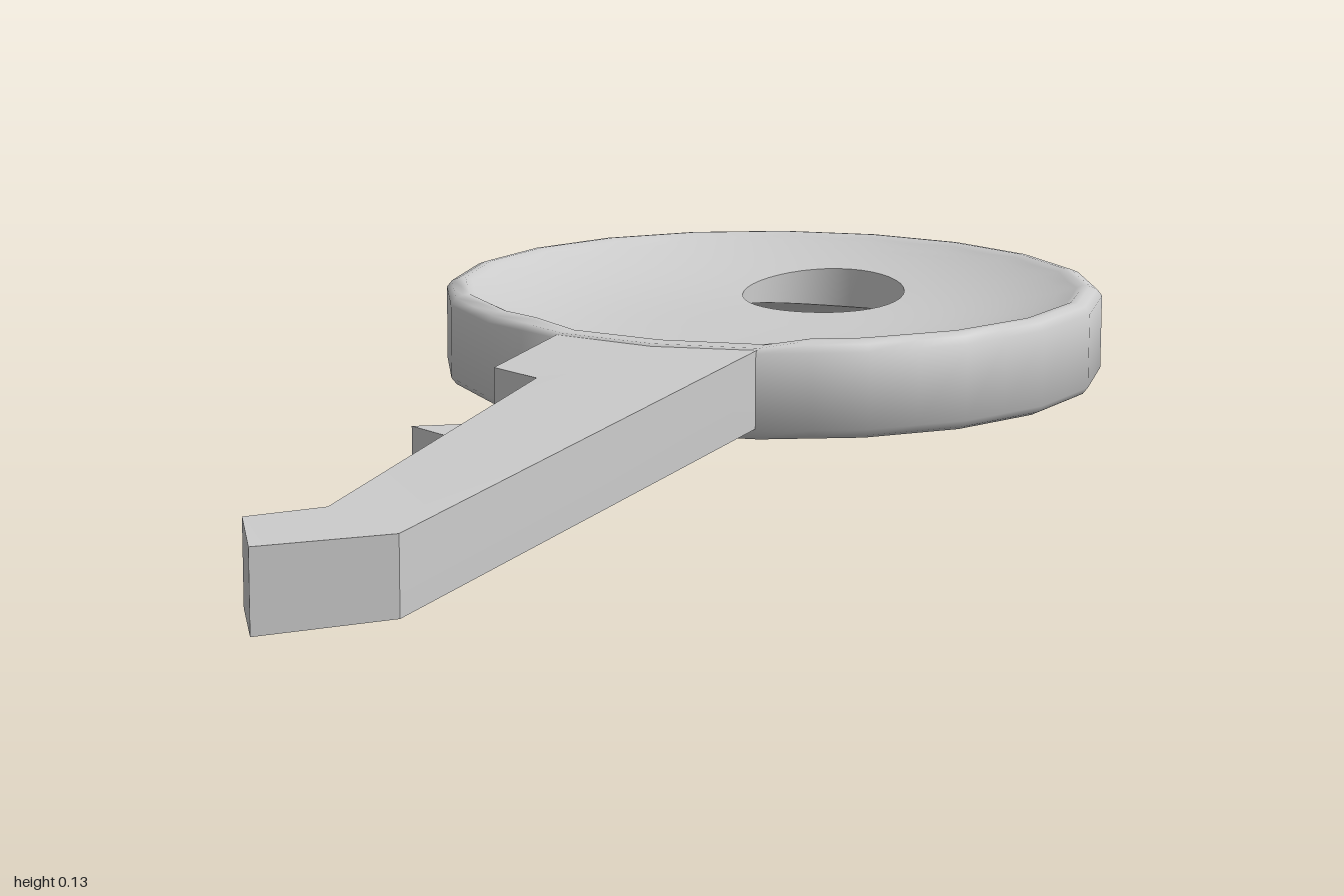
import * as THREE from 'three';
import { toCreasedNormals } from 'three/addons/utils/BufferGeometryUtils.js';

const material = new THREE.MeshStandardMaterial({ color: 0xcccccc });
const SEG = 40, BOW_Z = -0.55, HOLE_Z = -0.76, HOLE_R = 0.115, FACE_R = 0.415;

// Dished round bow: rings run from the hole across the top, around the rim and back underneath
function bowGeometry() {
  const rings = [];
  const STEPS = 10;
  const ring = (cz, r, height, facet) => {
    const points = [];
    for (let j = 0; j < SEG; j++) {
      const a = (j / SEG) * Math.PI * 2;
      // every second point lies on a chord, giving a 20-sided outline
      const k = j % 2 ? 1 - facet * (1 - Math.cos(Math.PI / 20)) : 1;
      const x = r * k * Math.sin(a), z = cz + r * k * Math.cos(a);
      let y = height(Math.hypot(x, z - BOW_Z) / FACE_R);
      if (z > -0.25 && Math.abs(x) < 0.15) y = Math.min(y, 0.121); // lower lip at the neck
      points.push([x, y, z]);
    }
    rings.push(points);
  };
  const face = (t, height) => ring(
    THREE.MathUtils.lerp(HOLE_Z, BOW_Z, t), THREE.MathUtils.lerp(HOLE_R, FACE_R, t), height, t);

  for (let i = 0; i <= STEPS; i++) face(i / STEPS, d => 0.07 + 0.055 * d ** 3.5);
  const rim = [[0.424, 0.129], [0.433, 0.128], [0.443, 0.124], [0.45, 0.115],
    [0.45, 0.015], [0.443, 0.006], [0.433, 0.001], [0.424, 0]];
  for (const [r, y] of rim) ring(BOW_Z, r, () => y, 1);
  for (let i = STEPS; i >= 0; i--) face(i / STEPS, d => 0.062 - 0.057 * d ** 3.5);

  const index = [];
  const n = rings.length;
  for (let i = 0; i < n; i++) {
    for (let j = 0; j < SEG; j++) {
      const a = i * SEG + j, b = ((i + 1) % n) * SEG + j;
      const c = i * SEG + (j + 1) % SEG, d = ((i + 1) % n) * SEG + (j + 1) % SEG;
      index.push(a, b, c, c, b, d);
    }
  }
  const g = new THREE.BufferGeometry();
  g.setAttribute('position', new THREE.Float32BufferAttribute(rings.flat(2), 3));
  g.setIndex(index);
  return toCreasedNormals(g, 1);
}

// Flat plate from an [x, z] outline between two heights
function plate(outline, y0, y1) {
  const shape = new THREE.Shape(outline.map(([x, z]) => new THREE.Vector2(x, z)));
  const g = new THREE.ExtrudeGeometry(shape, { depth: y1 - y0, bevelEnabled: false });
  return g.rotateX(Math.PI / 2).translate(0, y1, 0);
}

function bladeGeometry() {
  const g = plate([
    [-0.14, -0.135], [-0.14, 0.07], [-0.065, 0.11], [-0.052, 0.28], [-0.042, 0.38],
    [0, 0.81], [-0.055, 0.9], [0.005, 1], [0.122, 0.89], [0.133, 0.1], [0.136, -0.135],
  ], 0.014, 0.109);
  const p = g.attributes.position;
  for (let i = 0; i < p.count; i++) {
    const x = p.getX(i), z = p.getZ(i);
    if (p.getY(i) < 0.06) {
      if (x > 0.1) p.setY(i, 0.018);                                 // raised lower edge
      continue;
    }
    if (z < -0.1) p.setY(i, 0.119);                                  // rises towards the bow
    else if (z < 0.12) p.setY(i, 0.112);
    if (x < -0.03 && z > 0.85) p.setY(i, 0.113);
    if (x < 0 && z > 0.3 && z < 0.5) p.setX(i, x + 0.025);           // sloped cut edge
  }
  g.computeVertexNormals();
  return toCreasedNormals(g, 0.3);
}

export function createModel() {
  const key = new THREE.Group();
  key.name = 'key';
  const add = (name, geometry) => {
    const mesh = new THREE.Mesh(geometry, material);
    mesh.name = name;
    key.add(mesh);
  };
  add('bow', bowGeometry());
  add('blade', bladeGeometry());
  // Pointed teeth on the cut edge
  add('largeTooth', plate([[-0.13, 0.33], [-0.03, 0.385], [-0.03, 0.265]], 0.038, 0.09));
  add('smallTooth', plate([[-0.055, 0.555], [-0.01, 0.59], [-0.01, 0.52]], 0.038, 0.09));
  return key;
}
